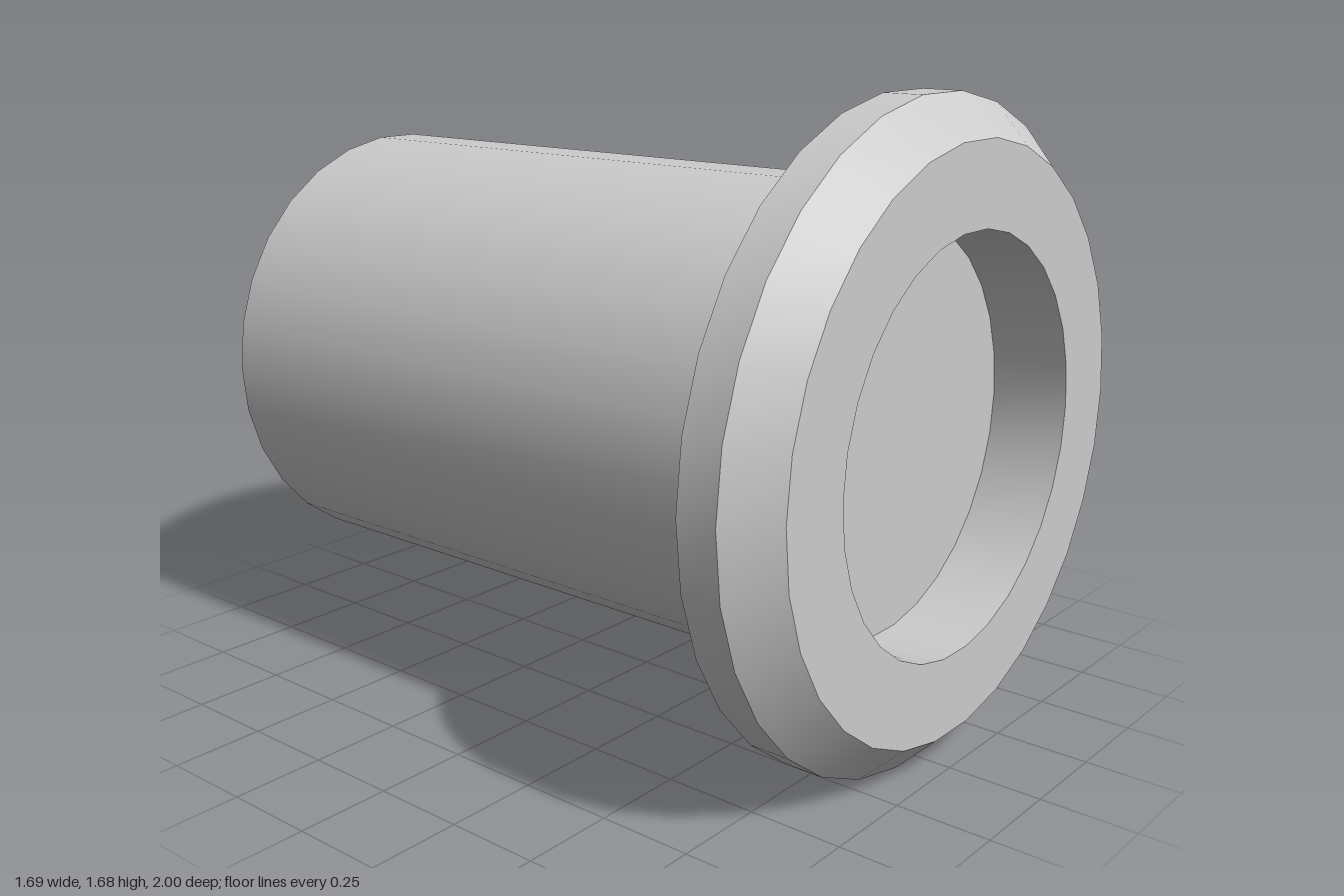
import * as THREE from 'three';
import { toCreasedNormals } from 'three/addons/utils/BufferGeometryUtils.js';

const SIDES = 30;
const CENTER_Y = 0.838;

// Revolve a [radius, z] profile around the z axis, with a corner on the x axis
function revolve(name, profile, material) {
  const points = profile.map(([r, z]) => new THREE.Vector2(r, z));
  const lathe = new THREE.LatheGeometry(points, SIDES, Math.PI / 2).rotateX(Math.PI / 2);
  const mesh = new THREE.Mesh(toCreasedNormals(lathe, Math.PI / 6), material);
  mesh.name = name;
  mesh.position.y = CENTER_Y;
  return mesh;
}

export function createModel() {
  const group = new THREE.Group();
  group.name = 'flangedPin';
  const material = new THREE.MeshStandardMaterial({ color: 0xcccccc });

  // Solid shaft with a flat back end
  const shaft = [[0, -1], [0.621, -1], [0.621, 0.79]];

  // Chamfered head with a round recess in its front face
  const head = [
    [0.621, 0.79], [0.843, 0.79], [0.843, 0.896], [0.74, 1],
    [0.528, 1], [0.528, 0.79], [0, 0.79],
  ];

  group.add(revolve('shaft', shaft, material), revolve('head', head, material));
  return group;
}
